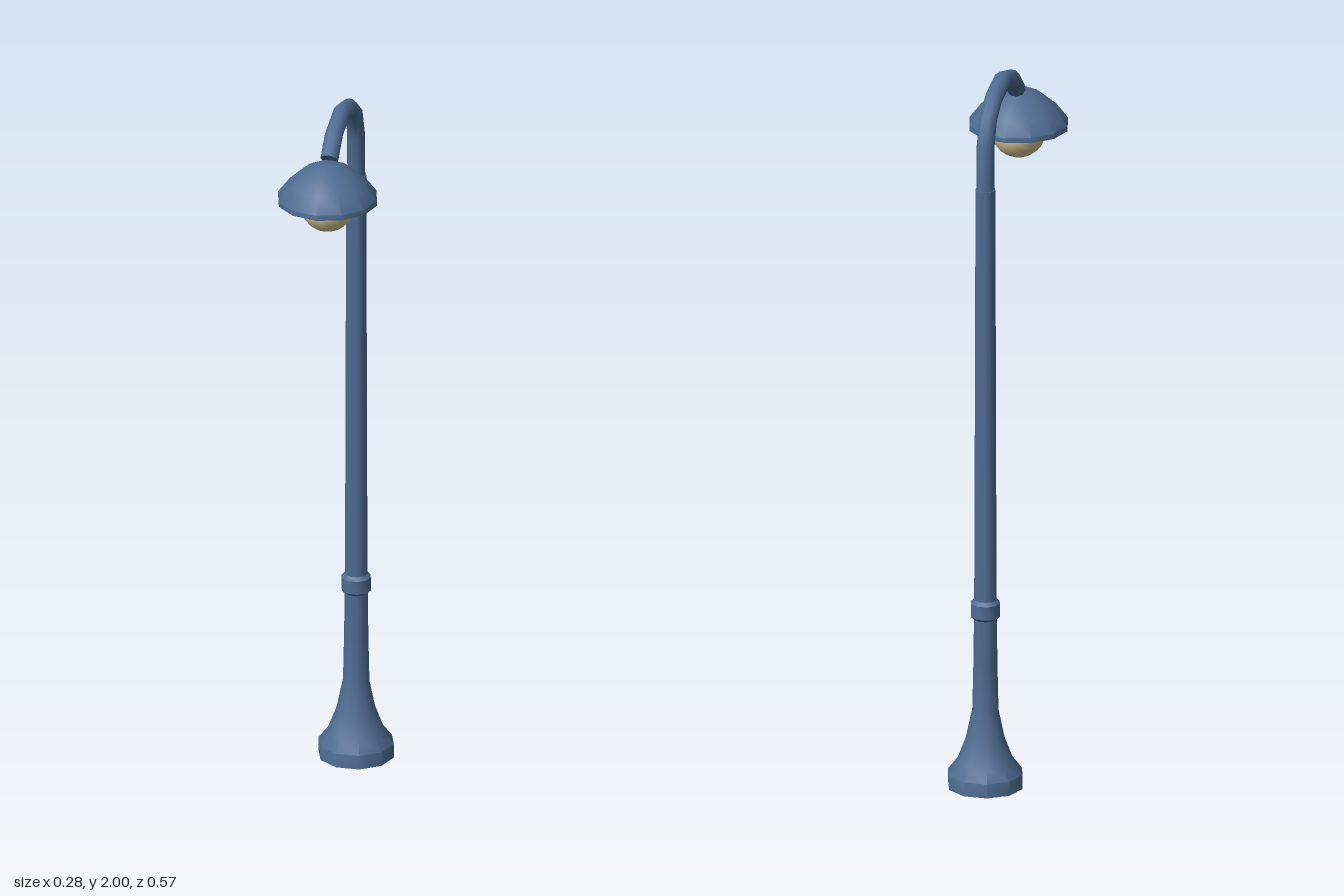
import * as THREE from 'three';
import { toCreasedNormals } from 'three/addons/utils/BufferGeometryUtils.js';

const paint = new THREE.MeshStandardMaterial({ color: 0x4f6d92 });
paint.name = 'blue paint';
const glass = new THREE.MeshStandardMaterial({ color: 0xdcc894 });
glass.name = 'warm glass';

const POLE_Z = -0.188;
const LAMP_Z = 0.147;

function part(name, geometry, material) {
  const mesh = new THREE.Mesh(geometry, material);
  mesh.name = name;
  return mesh;
}

// Turned part from [radius, height] pairs, with a corner on each side of x
function turned(name, profile, sides, z) {
  const points = profile.map(([r, y]) => new THREE.Vector2(r, y));
  const geometry = new THREE.LatheGeometry(points, sides);
  geometry.rotateY(Math.PI / 2);
  const mesh = part(name, toCreasedNormals(geometry, 0.7), paint);
  mesh.position.z = z;
  return mesh;
}

// Curved arm with one ring of corners at each bend
function makeArm() {
  const bends = [
    [1.71, -0.188], [1.84, -0.187], [1.91, -0.162], [1.955, -0.103],
    [1.975, -0.015], [1.95, 0.073], [1.9, 0.126],
  ].map(([y, z]) => new THREE.Vector3(0, y, z));
  const path = new THREE.CatmullRomCurve3(bends);
  path.getPointAt = (t, target) => path.getPoint(t, target);
  path.getTangentAt = (t, target) => path.getTangent(t, target);

  const arm = new THREE.Group();
  arm.name = 'arm';
  arm.add(part('armTube', new THREE.TubeGeometry(path, bends.length - 1, 0.025, 10), paint));

  const cap = part('armEnd', new THREE.CircleGeometry(0.025, 10), paint);
  cap.position.copy(bends[bends.length - 1]);
  cap.lookAt(cap.position.clone().add(path.getTangent(1)));
  arm.add(cap);
  return arm;
}

export function createModel() {
  const model = new THREE.Group();
  model.name = 'streetLamp';

  // Flared foot running up into the slim post
  model.add(turned('post', [
    [0, 0], [0.105, 0], [0.105, 0.04], [0.078, 0.075], [0.055, 0.135],
    [0.037, 0.22], [0.034, 0.35], [0.032, 0.5], [0.031, 0.68],
    [0.028, 1.72], [0, 1.72],
  ], 10, POLE_Z));

  // Collar around the post
  model.add(turned('collar', [
    [0.03, 0.48], [0.041, 0.49], [0.041, 0.528], [0.03, 0.54],
  ], 10, POLE_Z));

  model.add(makeArm());

  // Domed shade with a short lip and closed underside
  model.add(turned('shade', [
    [0, 1.785], [0.138, 1.785], [0.138, 1.8], [0.105, 1.843],
    [0.066, 1.876], [0.03, 1.893], [0, 1.896],
  ], 12, LAMP_Z));

  // Round bulb half sunk into the shade
  const bulb = part('bulb', new THREE.SphereGeometry(0.075, 16, 12), glass);
  bulb.position.set(0, 1.775, LAMP_Z);
  model.add(bulb);

  return model;
}
